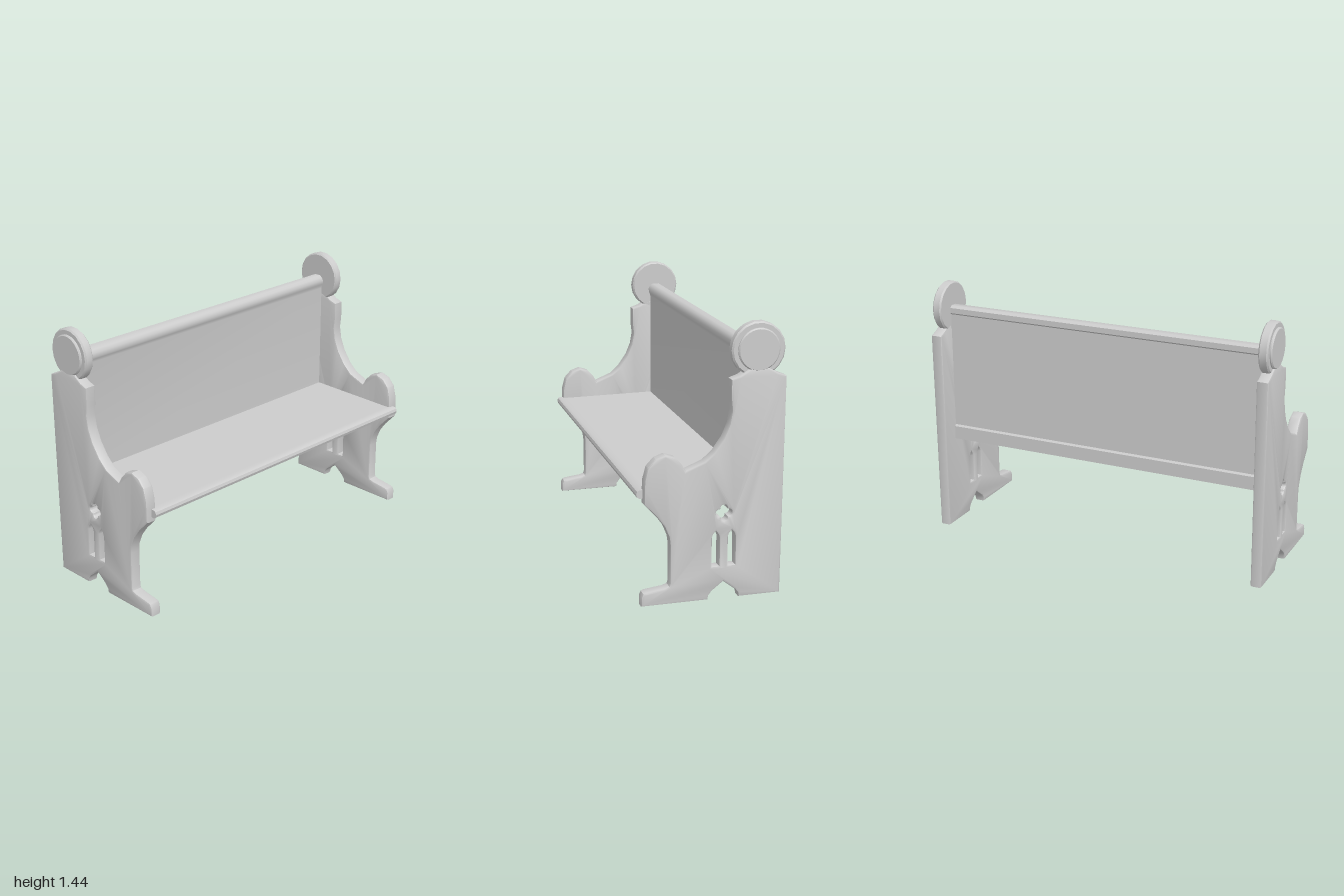
import * as THREE from 'three';
import { toCreasedNormals } from 'three/addons/utils/BufferGeometryUtils.js';

const material = new THREE.MeshStandardMaterial({ color: 0xcccccc });
const vectors = (pts) => pts.map(([z, y]) => new THREE.Vector2(z, y));

// Extrude a (z, y) outline along x, from x0 to x1, with optional eased edges.
function extrudeAlongX(name, outline, x0, x1, bevel = 0, holes = []) {
  const shape = new THREE.Shape(vectors(outline));
  for (const h of holes) shape.holes.push(new THREE.Path(vectors(h)));
  const geo = new THREE.ExtrudeGeometry(shape, {
    depth: x1 - x0 - 2 * bevel,
    bevelEnabled: bevel > 0,
    bevelSize: bevel,
    bevelThickness: bevel,
    bevelOffset: -bevel,
    bevelSegments: 2,
  });
  geo.rotateY(-Math.PI / 2);
  geo.translate(x1 - bevel, 0, 0);
  const mesh = new THREE.Mesh(toCreasedNormals(geo, 0.6), material);
  mesh.name = name;
  return mesh;
}

const CZ = -0.065; // centre line of the tracery

// Outline of a bench end, from the rear foot up and round to the arch
const endOutline = [
  [-0.375, 0], [-0.388, 1.16], [-0.34, 1.18], [-0.285, 1.21],
  [-0.195, 1.21], [-0.14, 1.175], [-0.095, 1.16], [-0.095, 1.06],
  [-0.102, 1.0], [-0.09, 0.93], [-0.06, 0.86], [-0.01, 0.79], [0.04, 0.745],
  [0.14, 0.705], [0.16, 0.74], [0.195, 0.778], [0.245, 0.795], [0.295, 0.778],
  [0.335, 0.735], [0.352, 0.67], [0.355, 0.62], [0.355, 0.545],
  [0.29, 0.475], [0.25, 0.42], [0.225, 0.36], [0.22, 0.32],
  [0.22, 0.11], [0.225, 0.096], [0.25, 0.088], [0.345, 0.076], [0.362, 0.07], [0.372, 0.05], [0.372, 0],
  [0.018, 0], [0.014, 0.022], [-0.003, 0.045], [-0.035, 0.07], [CZ, 0.093],
  [-0.095, 0.07], [-0.127, 0.045], [-0.144, 0.022], [-0.148, 0],
];

// Pointed window opening
const lancet = (z) => [
  [z - 0.019, 0.18], [z + 0.019, 0.18], [z + 0.019, 0.335],
  [z + 0.013, 0.353], [z, 0.37], [z - 0.013, 0.353], [z - 0.019, 0.335],
];

// Four-lobed opening
function quatrefoil(z, y) {
  const pts = [];
  for (let lobe = 0; lobe < 4; lobe++) {
    const mid = lobe * Math.PI / 2;
    for (let i = 0; i < 7; i++) {
      const a = mid + (i / 6 - 0.5) * Math.PI * 1.1;
      pts.push([
        z + 0.024 * Math.cos(mid) + 0.019 * Math.cos(a),
        y + 0.024 * Math.sin(mid) + 0.019 * Math.sin(a),
      ]);
    }
  }
  return pts;
}

// Disc with its axis along x
function disc(name, radius, x0, x1, sides, ease) {
  const half = (x1 - x0) / 2;
  const profile = vectors([
    [0, -half], [radius - ease, -half], [radius, -half + ease],
    [radius, half - ease], [radius - ease, half], [0, half],
  ]);
  const geo = new THREE.LatheGeometry(profile, sides);
  geo.rotateZ(-Math.PI / 2);
  const mesh = new THREE.Mesh(toCreasedNormals(geo, 0.6), material);
  mesh.position.set((x0 + x1) / 2, 1.303, -0.24);
  mesh.name = name;
  return mesh;
}

function benchEnd(side) {
  const group = new THREE.Group();
  group.name = side > 0 ? 'leftEnd' : 'rightEnd';
  const span = (a, b) => (side > 0 ? [a, b] : [-b, -a]);
  const holes = [lancet(CZ + 0.043), lancet(CZ - 0.043), quatrefoil(CZ, 0.465)];
  group.add(
    extrudeAlongX('endPanel', endOutline, ...span(0.935, 1), 0.011, holes),
    disc('finial', 0.142, ...span(0.935, 0.988), 18, 0.008),
    disc('finialBoss', 0.11, ...span(0.96, 1), 32, 0.006),
  );
  return group;
}

export function createModel() {
  const model = new THREE.Group();
  model.name = 'bench';
  model.add(benchEnd(1), benchEnd(-1));

  // Back board with a rounded top rail
  model.add(extrudeAlongX('backrest', [
    [-0.27, 0.52], [-0.21, 0.52], [-0.21, 1.235], [-0.207, 1.25], [-0.2, 1.262],
    [-0.2, 1.285], [-0.21, 1.302], [-0.225, 1.312], [-0.262, 1.312],
    [-0.277, 1.3], [-0.277, 1.27], [-0.27, 1.262],
  ], -0.94, 0.94));

  // Stepped rail along the foot of the back board
  model.add(extrudeAlongX('lowerRail', [
    [-0.28, 0.515], [-0.19, 0.515], [-0.19, 0.6], [-0.27, 0.625], [-0.27, 0.6], [-0.28, 0.59],
  ], -0.94, 0.94));

  // Seat board and its rounded front nosing
  model.add(extrudeAlongX('seat', [
    [-0.22, 0.585], [0.36, 0.585], [0.36, 0.614], [-0.22, 0.618],
  ], -0.94, 0.94));
  model.add(extrudeAlongX('seatNosing', [
    [0.335, 0.57], [0.372, 0.57], [0.384, 0.577], [0.389, 0.593],
    [0.384, 0.608], [0.372, 0.615], [0.335, 0.615],
  ], -0.965, 0.965));

  return model;
}
